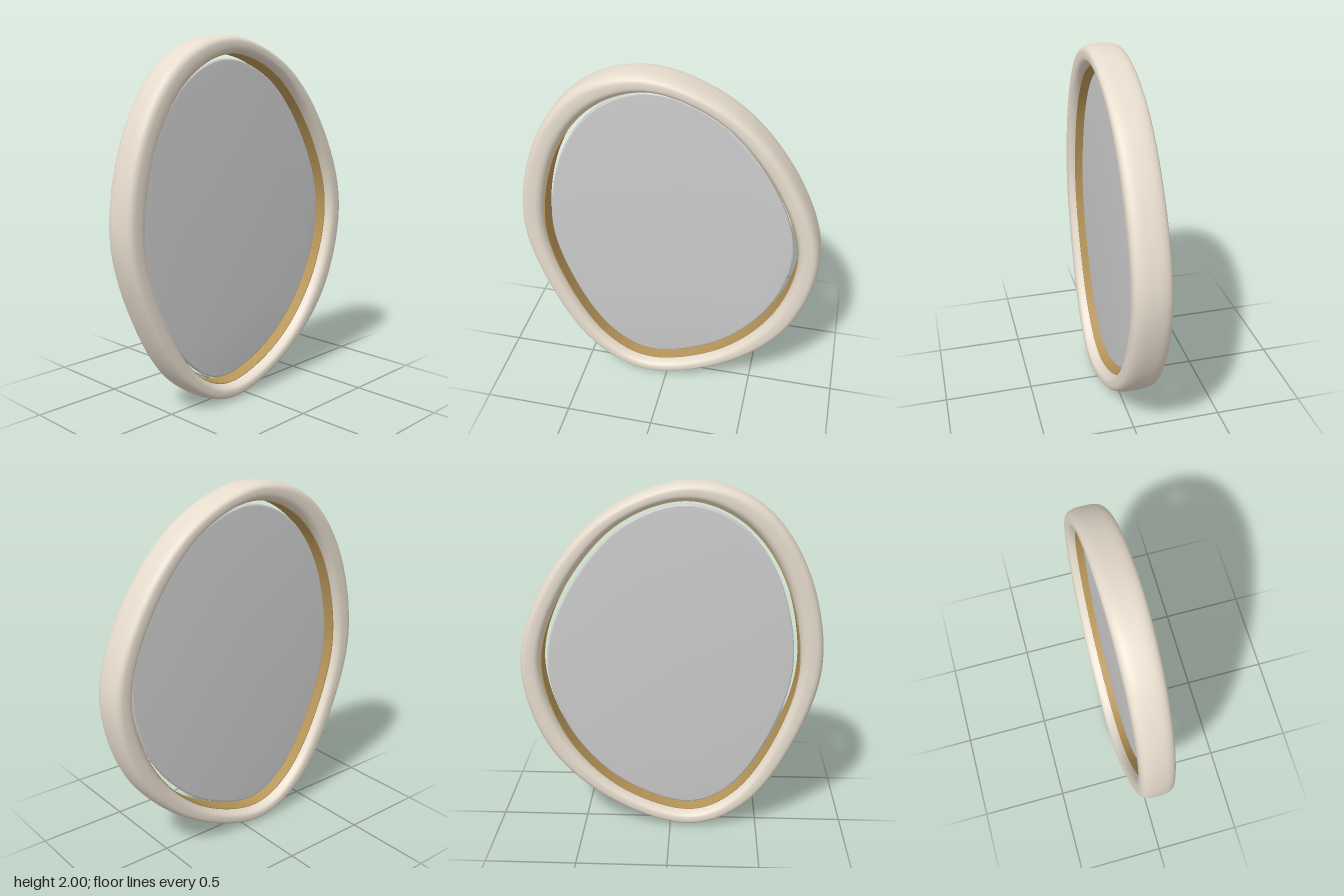
import * as THREE from 'three';
import { toCreasedNormals } from 'three/addons/utils/BufferGeometryUtils.js';

// Clockwise from the top: pane edge x, y and the matching outer frame edge x, y
const OUTLINE = [
  [-0.07, 1.88, -0.085, 2.0], [0.285, 1.74, 0.355, 1.83], [0.565, 1.39, 0.68, 1.455],
  [0.69, 0.995, 0.835, 0.995], [0.58, 0.585, 0.71, 0.51], [0.30, 0.265, 0.37, 0.17],
  [-0.085, 0.115, -0.09, 0.003], [-0.36, 0.24, -0.445, 0.148], [-0.57, 0.58, -0.695, 0.524],
  [-0.68, 0.995, -0.836, 1.01], [-0.60, 1.445, -0.74, 1.52], [-0.385, 1.76, -0.475, 1.885],
];
const STEPS = 240;

const closedCurve = (k) => new THREE.CatmullRomCurve3(
  OUTLINE.map((p) => new THREE.Vector3(p[k], p[k + 1], 0)), true, 'catmullrom', 0.5);
const paneEdge = closedCurve(0);
const outerEdge = closedCurve(2);

// Sweeps a closed section around the outline; section(width, point) gives
// [distance outward from the pane edge, z] pairs
function sweepRing(section) {
  const pos = [], index = [];
  let n = 0;
  for (let i = 0; i < STEPS; i++) {
    const p = paneEdge.getPoint(i / STEPS);
    const dir = outerEdge.getPoint(i / STEPS).sub(p);
    const width = dir.length();
    dir.normalize();
    const pts = section(width, p);
    n = pts.length;
    for (const [d, z] of pts) pos.push(p.x + dir.x * d, p.y + dir.y * d, z);
    const next = (i + 1) % STEPS;
    for (let j = 0; j < n; j++) {
      const k = (j + 1) % n;
      const a = i * n + j, b = i * n + k, c = next * n + k, d = next * n + j;
      index.push(a, b, d, b, c, d);
    }
  }
  const geo = new THREE.BufferGeometry();
  geo.setAttribute('position', new THREE.Float32BufferAttribute(pos, 3));
  geo.setIndex(index);
  geo.computeVertexNormals();
  return geo;
}

// Plump rounded section, deeper towards the bottom of the frame
function frameSection(width, p) {
  const inner = 0.026;
  const a = (width - inner) / 2, mid = (width + inner) / 2;
  const h = 1 - p.y;
  const b = 0.097 + 0.0095 * h * h + 0.0065 * h + 0.006 * p.x;
  const power = (v) => Math.sign(v) * Math.abs(v) ** (2 / 3);
  return Array.from({ length: 40 }, (_, j) => {
    const t = (j / 40) * Math.PI * 2;
    return [mid + a * power(Math.cos(t)), b * power(Math.sin(t))];
  });
}

export function createModel() {
  const group = new THREE.Group();
  const add = (name, geo, color) => {
    const mesh = new THREE.Mesh(geo, new THREE.MeshStandardMaterial({ color }));
    mesh.name = name;
    group.add(mesh);
  };

  // Soft outer frame
  add('frame', sweepRing(frameSection), 0xe6dccd);

  // Thin metal band lining the inside of the frame
  const band = sweepRing(() => [[0.04, -0.055], [0.04, 0.055], [0.024, 0.055], [0.024, -0.055]]);
  add('innerBand', toCreasedNormals(band, 0.6), 0xb8965a);

  // Mirror pane with bevelled edges
  const shape = new THREE.Shape(paneEdge.getPoints(STEPS).slice(0, STEPS)
    .map((p) => new THREE.Vector2(p.x, p.y)));
  const pane = new THREE.ExtrudeGeometry(shape, {
    depth: 0.016, bevelThickness: 0.008, bevelSize: 0.01, bevelOffset: -0.01, bevelSegments: 3,
  });
  pane.translate(0, 0, -0.008);
  add('mirrorPane', toCreasedNormals(pane, 0.6), 0xcccccc);

  return group;
}
